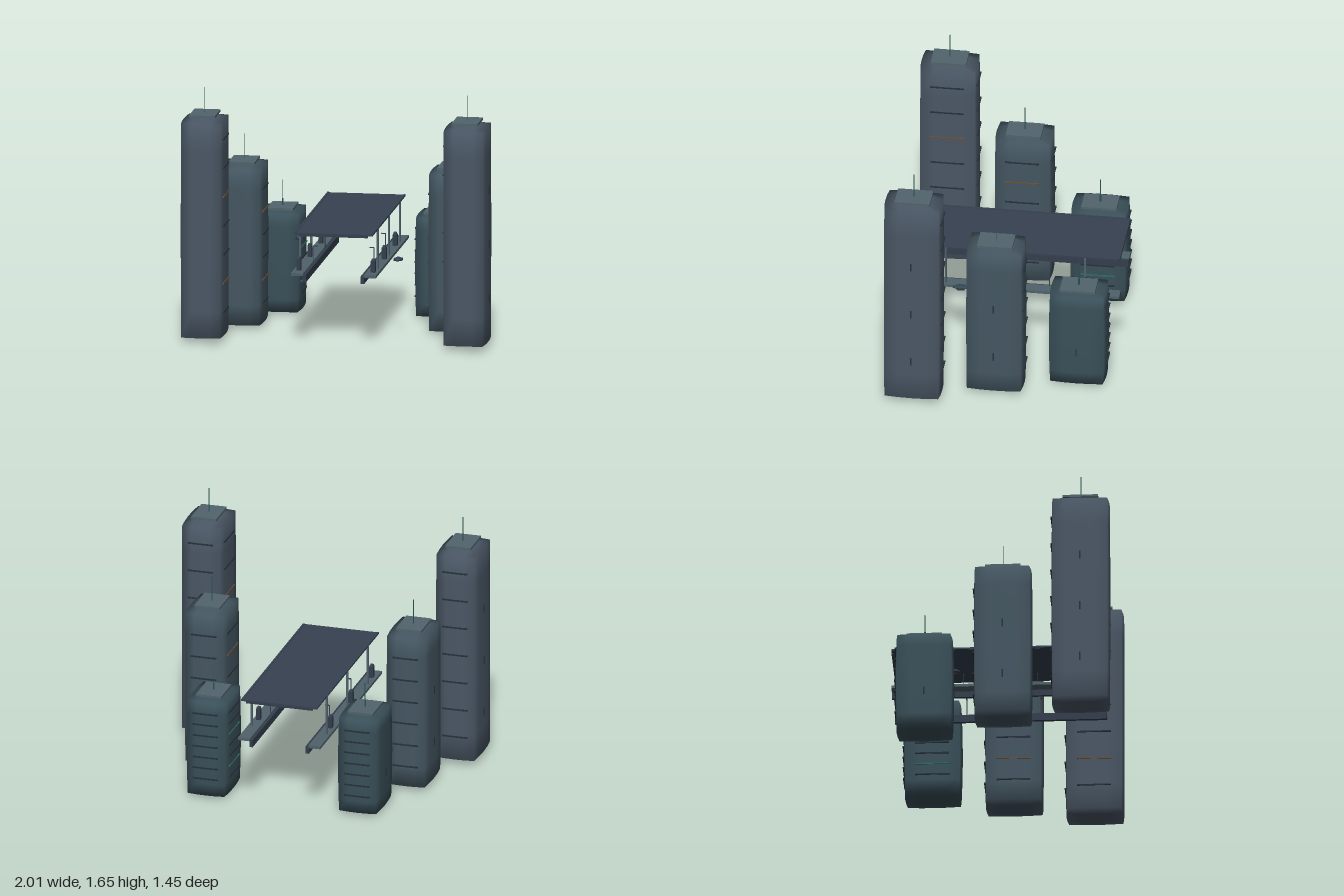
import * as THREE from 'three';
import { mergeVertices } from 'three/addons/utils/BufferGeometryUtils.js';

const mat = (color) => new THREE.MeshStandardMaterial({ color });
const M = {
  roof: mat(0x51646c), mast: mat(0x2f5a55), canopy: mat(0x364150), dark: mat(0x333e4c),
  walkway: mat(0x4f626b), post: mat(0x52606c), pod: mat(0x3a4854), glass: mat(0x2c4a52),
  strip: mat(0x26313a), amber: mat(0x6b5036), teal: mat(0x2c6a66),
};

function add(parent, name, geometry, material, x = 0, y = 0, z = 0) {
  const mesh = new THREE.Mesh(geometry, material);
  mesh.name = name;
  mesh.position.set(x, y, z);
  parent.add(mesh);
  return mesh;
}
const box = (parent, name, w, h, d, material, x, y, z) =>
  add(parent, name, new THREE.BoxGeometry(w, h, d), material, x, y, z);

// Softly bulging tower body with pyramid ends and smooth normals
function towerBody(w, h, d, cap, bulge) {
  let g = new THREE.BoxGeometry(2, 2, 2, 4, 8, 4);
  g.deleteAttribute('uv');
  g.deleteAttribute('normal');
  g = mergeVertices(g);
  const p = g.attributes.position;
  for (let i = 0; i < p.count; i++) {
    const u = p.getX(i), t = p.getY(i), v = p.getZ(i);
    const taper = 1 - bulge * t * t;
    const peak = Math.abs(t) === 1 ? cap * (1 - Math.max(Math.abs(u), Math.abs(v))) : 0;
    p.setXYZ(i,
      u * w / 2 * (1 - 0.08 * v * v) * taper,
      t * (h / 2 - cap + peak),
      v * d / 2 * (1 - 0.06 * u * u) * taper);
  }
  g.computeVertexNormals();
  return g;
}

const TOWERS = [
  { name: 'tallTower', x: 0.86, z: 0.535, top: 1.485, mast: 1.66, cap: 0.035, bulge: 0.015, color: 0x4a5765, rows: 7, first: 0.2, step: 0.19 },
  { name: 'middleTower', x: 0.682, z: 0.022, top: 1.085, mast: 1.26, cap: 0.026, bulge: 0.02, color: 0x445661, rows: 6, first: 0.17, step: 0.15 },
  { name: 'shortTower', x: 0.512, z: -0.495, top: 0.685, mast: 0.86, cap: 0.018, bulge: 0.04, color: 0x3a5059, rows: 7, first: 0.14, step: 0.075 },
];

function tower(t, side) {
  const g = new THREE.Group();
  g.name = t.name;
  g.position.set(side * t.x, 0, t.z);
  const base = 0.005, h = t.top - base, w = 0.28, d = 0.38;
  add(g, 'body', towerBody(w, h, d, t.cap, t.bulge), mat(t.color), 0, base + h / 2, 0);
  box(g, 'roofPlate', 0.17, 0.016, 0.23, M.roof, 0, t.top + 0.002, 0);
  add(g, 'mast', new THREE.CylinderGeometry(0.003, 0.003, t.mast - t.top, 6), M.mast, 0, (t.mast + t.top) / 2, 0);
  if (t.name === 'shortTower')
    add(g, 'mastBase', new THREE.CylinderGeometry(0.006, 0.006, 0.05, 6), M.mast, 0, t.top + 0.03, 0);
  // Window strips on the inner and back faces
  for (let i = 0; i < t.rows; i++) {
    const y = t.first + i * t.step;
    const s = (2 * y - t.top) / t.top, taper = 1 - t.bulge * s * s;
    const lit = i % 3 === 1 ? (t.name === 'shortTower' ? M.teal : M.amber) : M.strip;
    box(g, 'innerWindowStrip', 0.016, 0.009, 0.22, lit, -side * (w / 2 * taper - 0.004), y, 0);
    box(g, 'backWindowStrip', 0.17, 0.009, 0.016, i % 3 === 2 ? lit : M.strip, 0, y, -(d / 2 * taper - 0.003));
  }
  // Small upright vents on the outer face
  for (let y = t.first + 0.12; y < t.top - 0.1; y += 0.36)
    box(g, 'outerVent', 0.008, 0.055, 0.009, M.strip, side * w / 2 * (1 - t.bulge * 0.3), y, 0);
  return g;
}

// Raised walkway with its beam, posts, kiosks and lamps
function walkway(side) {
  const g = new THREE.Group();
  g.name = 'walkway';
  const midZ = -0.04, len = 1.37;
  box(g, 'walkwaySlab', 0.08, 0.018, len, M.walkway, side * 0.238, 0.465, midZ);
  box(g, 'edgeBeam', 0.022, 0.05, len, M.dark, side * 0.19, 0.441, midZ);
  for (const z of [-0.5, -0.045, 0.41])
    box(g, 'canopyPost', 0.012, 0.27, 0.012, M.post, side * 0.254, 0.605, z);
  for (const z of [-0.38, 0.075, 0.53]) {
    box(g, 'kiosk', 0.028, 0.075, 0.04, M.dark, side * 0.243, 0.511, z);
    box(g, 'kioskTop', 0.02, 0.012, 0.03, M.pod, side * 0.243, 0.554, z);
  }
  for (const z of [-0.26, 0.22]) {
    box(g, 'lampPole', 0.005, 0.115, 0.005, M.dark, side * 0.199, 0.518, z);
    box(g, 'lampArm', 0.03, 0.005, 0.008, M.dark, side * 0.184, 0.574, z);
  }
  return g;
}

// Small hovering craft
function craft(x, z, heading) {
  const g = new THREE.Group();
  g.name = 'hoverCraft';
  g.position.set(x, 0.519, z);
  g.rotation.y = heading;
  const hull = add(g, 'hull', new THREE.SphereGeometry(1, 16, 10), M.pod);
  hull.scale.set(0.022, 0.012, 0.052);
  const cabin = add(g, 'cabin', new THREE.SphereGeometry(1, 12, 8), M.glass, 0, 0.008, 0.008);
  cabin.scale.set(0.014, 0.01, 0.025);
  for (const s of [-1, 1])
    box(g, 'sidePod', 0.01, 0.014, 0.05, M.dark, s * 0.022, -0.002, -0.006);
  return g;
}

export function createModel() {
  const model = new THREE.Group();
  model.name = 'stationBetweenTowers';
  for (const side of [-1, 1]) {
    for (const t of TOWERS) model.add(tower(t, side));
    model.add(walkway(side));
  }
  // Long canopy with cross beams and a hanging board
  const canopy = new THREE.Group();
  canopy.name = 'canopy';
  box(canopy, 'canopyRoof', 0.49, 0.01, 1.37, M.canopy, 0, 0.736, -0.04);
  for (const s of [-1, 1])
    box(canopy, 'edgeRail', 0.014, 0.012, 1.37, M.canopy, s * 0.25, 0.738, -0.04);
  for (const z of [-0.72, -0.375, -0.035, 0.305, 0.64])
    box(canopy, 'crossBeam', 0.45, 0.014, 0.012, M.dark, 0, 0.726, z);
  box(canopy, 'hangingBoard', 0.15, 0.026, 0.02, M.post, 0, 0.683, -0.6);
  model.add(canopy);
  model.add(craft(-0.375, -0.325, Math.PI), craft(0.37, 0.3, 0));
  return model;
}
